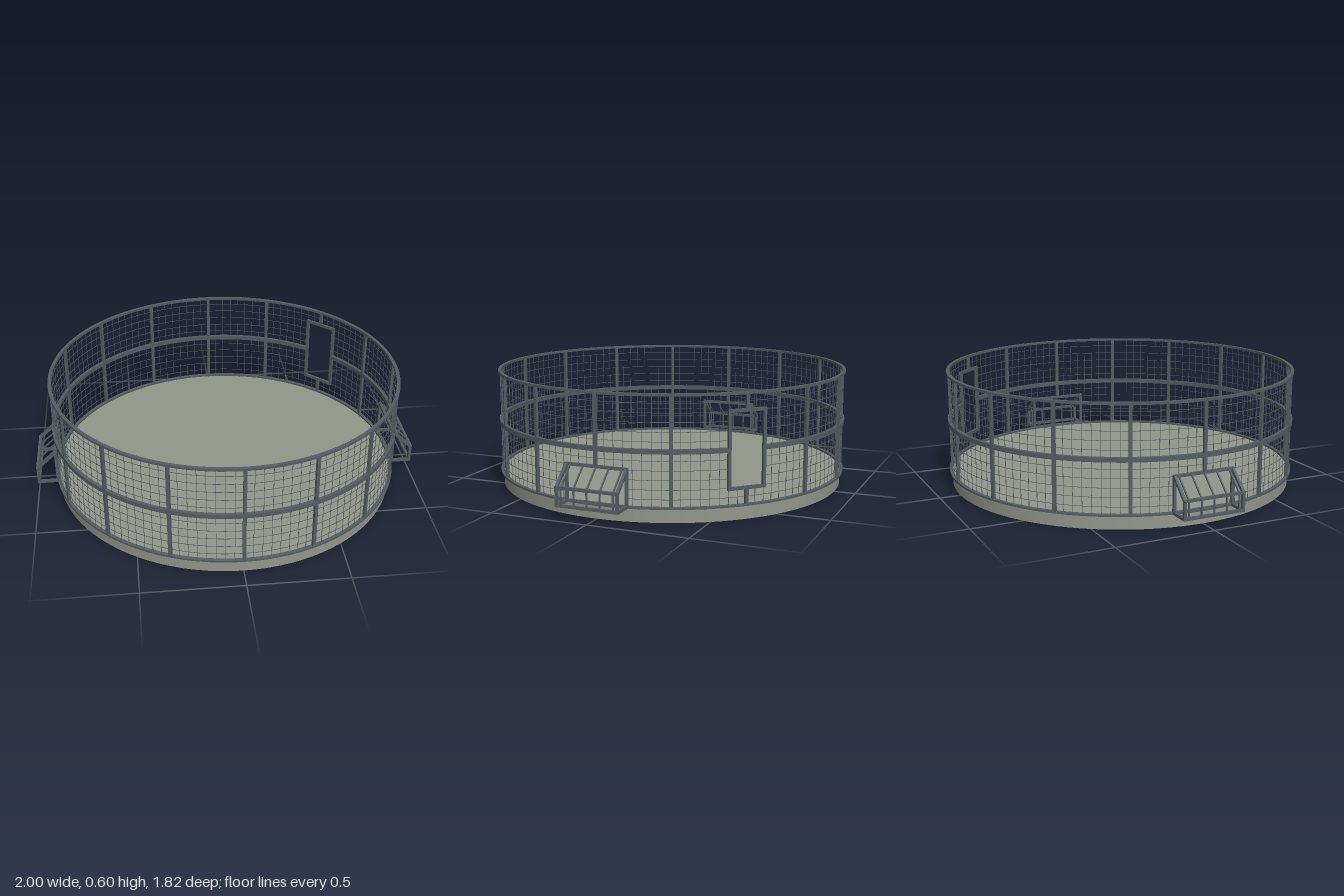
import * as THREE from 'three';
import { mergeGeometries, toCreasedNormals } from 'three/addons/utils/BufferGeometryUtils.js';

const R = 0.9;                       // radius of the wire wall
const FLOOR = 0.066, MID = 0.333, TOP = 0.597;
const POSTS = 16, WIRES_PER_PANEL = 8;
const TAU = Math.PI * 2;

const steel = new THREE.MeshStandardMaterial({ color: 0x555d63 });
const wire = new THREE.MeshStandardMaterial({ color: 0x555d63 });
const concrete = new THREE.MeshStandardMaterial({ color: 0x92978b });

// Openings in the wall, by angle from the front (+z) towards +x
const OPENINGS = [
  { angle: Math.PI / 2, half: 0.172, y0: 0, y1: 0.25 },          // side box
  { angle: Math.PI * 0.75, half: 0.1, y0: 0.15, y1: 0.515 },     // door
  { angle: Math.PI * 1.5, half: 0.172, y0: 0, y1: 0.25 },        // side box
];

// Angle ranges of the wall left free at one height
function freeArcs(y) {
  const gaps = OPENINGS.filter((o) => y > o.y0 && y < o.y1);
  if (!gaps.length) return [[0, TAU]];
  return gaps.map((g, i) => {
    const next = gaps[(i + 1) % gaps.length];
    const end = next.angle - next.half + (i === gaps.length - 1 ? TAU : 0);
    return [g.angle + g.half, end];
  });
}

// Height ranges of the wall left free at one angle
function freeHeights(angle) {
  const gap = OPENINGS.find((o) => Math.abs(o.angle - angle) < o.half);
  if (!gap) return [[FLOOR, TOP]];
  return [[FLOOR, gap.y0], [gap.y1, TOP]].filter(([a, b]) => b > a);
}

// Rectangular hoop section swept round the wall
function hoop(y, depth, height, [from, to]) {
  const a = R - depth / 2, b = R + depth / 2, h = height / 2;
  const profile = [[b, y - h], [b, y + h], [a, y + h], [a, y - h], [b, y - h]]
    .map(([r, v]) => new THREE.Vector2(r, v));
  const segments = Math.ceil(96 * (to - from) / TAU);
  return toCreasedNormals(new THREE.LatheGeometry(profile, segments, from, to - from), 0.6);
}

// Upright bar standing on the wall circle
function upright(angle, width, depth, [y0, y1]) {
  return new THREE.BoxGeometry(width, y1 - y0, depth)
    .translate(0, (y0 + y1) / 2, R)
    .rotateY(angle);
}

// Square bar between two points
function bar(from, to, size) {
  const a = new THREE.Vector3(...from), b = new THREE.Vector3(...to);
  const m = new THREE.Matrix4().lookAt(b, a, new THREE.Vector3(0, 1, 0.001));
  m.setPosition(a.clone().add(b).multiplyScalar(0.5));
  return new THREE.BoxGeometry(size, size, a.distanceTo(b) + size * 0.9).applyMatrix4(m);
}

function part(name, geometries, material) {
  const mesh = new THREE.Mesh(mergeGeometries(geometries.map((g) => g.index ? g.toNonIndexed() : g)), material);
  mesh.name = name;
  return mesh;
}

// Box with a sloping barred lid, on the +x side
function sideBox(name) {
  const z = 0.153, t = 0.014;
  const wallTop = [0.895, 0.248], lidEdge = [0.993, 0.158], foot = [0.993, 0.073], wallFoot = [0.895, 0.073];
  const outline = [wallTop, lidEdge, foot, wallFoot];
  const frame = [], slats = [];
  for (const side of [-z, z]) {
    outline.forEach((p, i) => frame.push(bar([...p, side], [...outline[(i + 1) % 4], side], t)));
  }
  for (const p of outline) frame.push(bar([...p, -z], [...p, z], t));
  for (let i = -2; i <= 2; i++) {
    const s = i * 0.066;
    slats.push(bar([...wallTop, s], [...lidEdge, s], 0.007), bar([...lidEdge, s], [...foot, s], 0.007));
  }
  const group = new THREE.Group();
  group.name = name;
  group.add(part('boxFrame', frame, steel), part('boxSlats', slats, steel));
  return group;
}

export function createModel() {
  const model = new THREE.Group();
  model.name = 'roundEnclosure';

  // Solid round floor
  const base = new THREE.CylinderGeometry(0.893, 0.893, FLOOR, 96).translate(0, FLOOR / 2, 0);
  model.add(part('base', [base], concrete));

  // Bottom, middle and top rails
  const rails = [[FLOOR + 0.005, 0.01], [MID, 0.022], [TOP - 0.006, 0.012]];
  rails.forEach(([y, height], i) => {
    const arcs = i === 0 ? [[0, TAU]] : freeArcs(y);
    model.add(part(['bottomRail', 'middleRail', 'topRail'][i], arcs.map((a) => hoop(y, 0.018, height, a)), steel));
  });

  // Posts and the thin wires between them
  const posts = [], wires = [];
  const count = POSTS * WIRES_PER_PANEL;
  for (let i = 0; i < count; i++) {
    const angle = (i / count) * TAU;
    const isPost = i % WIRES_PER_PANEL === 0;
    for (const span of freeHeights(angle)) {
      if (isPost) posts.push(upright(angle, 0.017, 0.014, span));
      else wires.push(upright(angle, 0.002, 0.002, span));
    }
  }
  for (const [y0, y1] of [[FLOOR, MID], [MID, TOP]]) {
    for (let k = 1; k < 6; k++) {
      const y = y0 + (y1 - y0) * k / 6;
      for (const arc of freeArcs(y)) wires.push(hoop(y, 0.002, 0.002, arc));
    }
  }
  model.add(part('posts', posts, steel), part('wireMesh', wires, wire));

  // Door frame
  const w = 0.088, y0 = 0.152, y1 = 0.512, t = 0.015;
  const corners = [[-w, y0, R], [w, y0, R], [w, y1, R], [-w, y1, R]];
  const door = part('doorFrame', corners.map((c, i) => bar(c, corners[(i + 1) % 4], t)), steel);
  door.rotation.y = OPENINGS[1].angle;
  model.add(door);

  // Side boxes
  const left = sideBox('leftBox'), right = sideBox('rightBox');
  right.rotation.y = Math.PI;
  model.add(left, right);

  return model;
}
